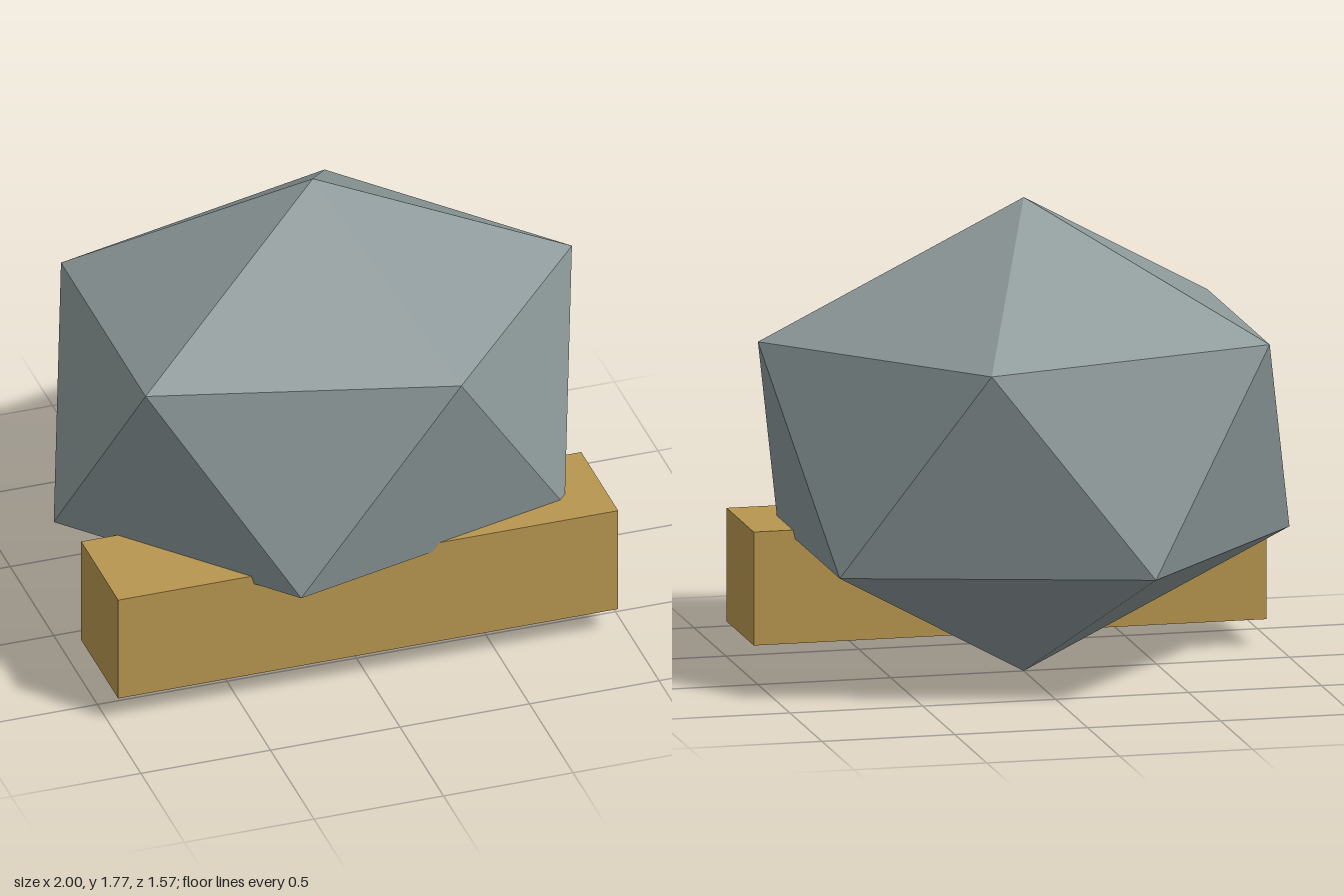
import * as THREE from 'three';

export function createModel() {
  const group = new THREE.Group();
  const stoneMaterial = new THREE.MeshStandardMaterial({ color: 0x8c9899, flatShading: true });
  const plankMaterial = new THREE.MeshStandardMaterial({ color: 0xb8964f });

  // Boulder: icosahedron stood on one corner, an upper ring corner on +x, then stretched
  const stone = new THREE.IcosahedronGeometry(1, 0);
  stone.rotateX(-Math.atan((1 + Math.sqrt(5)) / 2));
  stone.rotateY(Math.PI / 2);
  stone.scale(1.118, 0.887, 0.923);
  stone.translate(0, 0.887, 0);
  stone.computeVertexNormals();
  const boulder = new THREE.Mesh(stone, stoneMaterial);
  boulder.name = 'boulder';
  group.add(boulder);

  // Square beam running through the lower front of the boulder
  const beam = new THREE.Mesh(new THREE.BoxGeometry(1.93, 0.425, 0.425), plankMaterial);
  beam.name = 'beam';
  beam.position.set(0, 0.312, 0.423);
  group.add(beam);

  return group;
}
